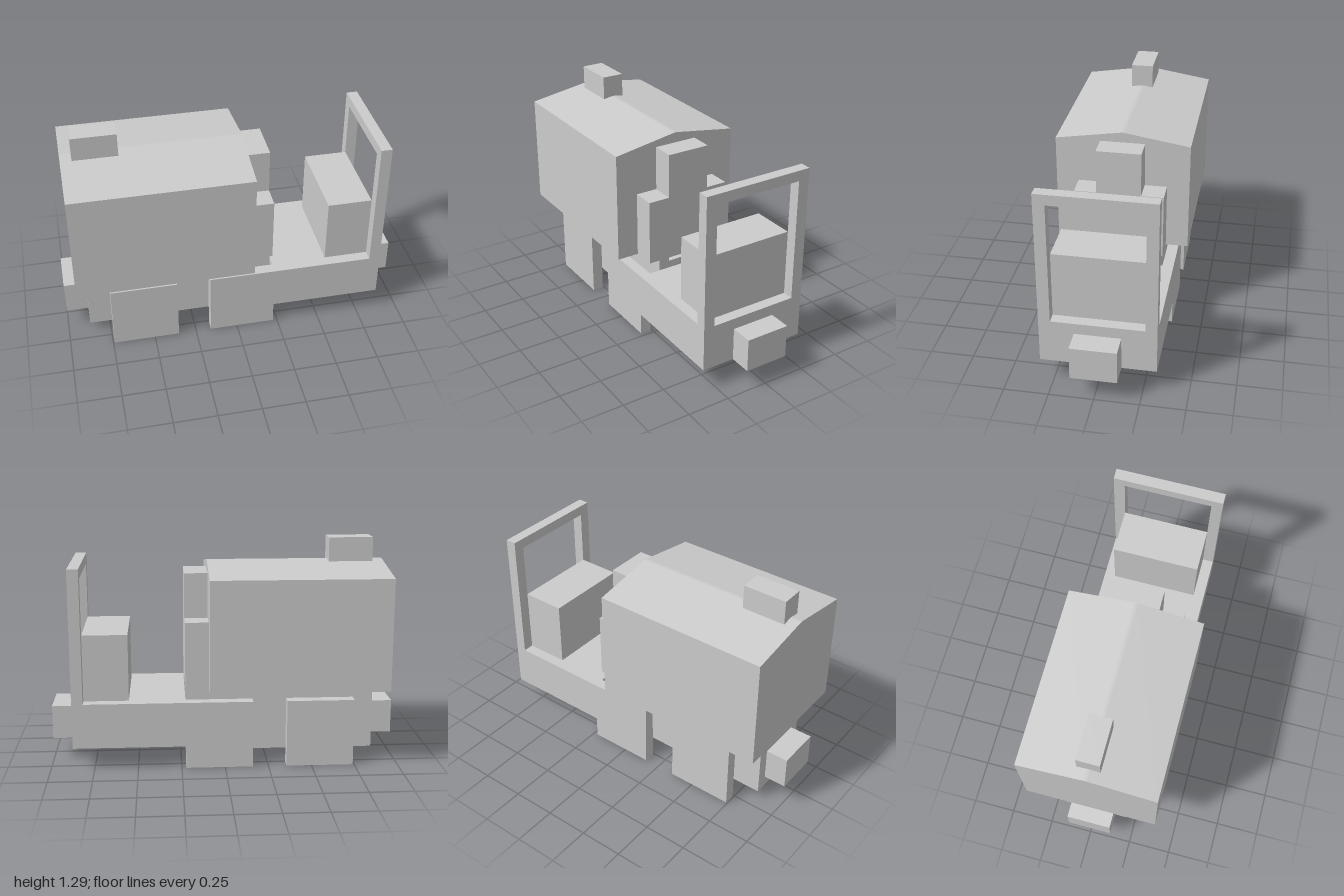
import * as THREE from 'three';

export function createModel() {
  const group = new THREE.Group();
  const material = new THREE.MeshStandardMaterial({ color: 0xcccccc, flatShading: true });

  function add(name, geometry) {
    const mesh = new THREE.Mesh(geometry, material);
    mesh.name = name;
    group.add(mesh);
    return mesh;
  }

  // Box given by its limits along each axis
  function box(name, x0, x1, y0, y1, z0, z1) {
    const mesh = add(name, new THREE.BoxGeometry(x1 - x0, y1 - y0, z1 - z0));
    mesh.position.set((x0 + x1) / 2, (y0 + y1) / 2, (z0 + z1) / 2);
  }

  function shapeFrom(points) {
    return new THREE.Shape(points.map(([a, b]) => new THREE.Vector2(a, b)));
  }

  // Profile in the z-y plane, extruded along x
  function extrudeAlongX(name, shape, x0, x1) {
    const geometry = new THREE.ExtrudeGeometry(shape, { depth: x1 - x0, bevelEnabled: false });
    geometry.rotateY(Math.PI / 2);
    geometry.translate(x0, 0, 0);
    add(name, geometry);
  }

  // Cabin body with a shallow gabled roof
  extrudeAlongX('cabin', shapeFrom([
    [-0.387, 0.455], [0.387, 0.455], [0.387, 1.1],
    [0.008, 1.16], [-0.008, 1.16], [-0.387, 1.1],
  ]), -0.935, 0.09);
  box('roofChimney', -0.87, -0.615, 1.15, 1.29, -0.065, 0.065);

  // Stepped console on the cabin's end wall
  extrudeAlongX('console', shapeFrom([
    [-0.258, 0.455], [0.258, 0.455], [0.258, 0.84], [0.129, 0.84],
    [0.129, 1.1], [-0.129, 1.1], [-0.129, 0.84], [-0.258, 0.84],
  ]), 0.09, 0.225);

  // Chassis walls, open at the bottom and at the deck end
  const chassis = new THREE.ExtrudeGeometry(shapeFrom([
    [-0.87, -0.194], [0.225, -0.194], [0.225, -0.129], [-0.805, -0.129],
    [-0.805, 0.129], [0.225, 0.129], [0.225, 0.194], [-0.87, 0.194],
  ]), { depth: 0.39, bevelEnabled: false });
  chassis.rotateX(-Math.PI / 2);
  chassis.translate(0, 0.065, 0);
  add('chassis', chassis);
  for (const x of [-0.55, 0.03]) box('crossBeam', x, x + 0.13, 0.13, 0.39, -0.129, 0.129);

  // Low deck with a seat block and the end frame
  box('deck', 0.225, 0.87, 0.13, 0.39, -0.323, 0.323);
  box('seat', 0.548, 0.806, 0.39, 0.775, -0.258, 0.258);
  const frame = shapeFrom([[-0.323, 0.39], [0.323, 0.39], [0.323, 1.16], [-0.323, 1.16]].flatMap(
    (p, i) => i === 0 ? [p, [-0.258, 0.39], [-0.258, 1.1], [0.258, 1.1], [0.258, 0.39]] : [p]));
  extrudeAlongX('endFrame', frame, 0.806, 0.87);

  // Side skirts
  for (const z of [-0.323, 0.258]) {
    box('rearSkirt', -0.742, -0.355, 0, 0.39, z, z + 0.065);
    box('middleSkirt', -0.16, 0.225, 0, 0.39, z, z + 0.065);
  }

  // Couplers at both ends
  box('rearCoupler', -1, -0.87, 0.13, 0.325, -0.129, 0.129);
  box('frontCoupler', 0.87, 1, 0.13, 0.325, -0.129, 0.129);

  return group;
}
